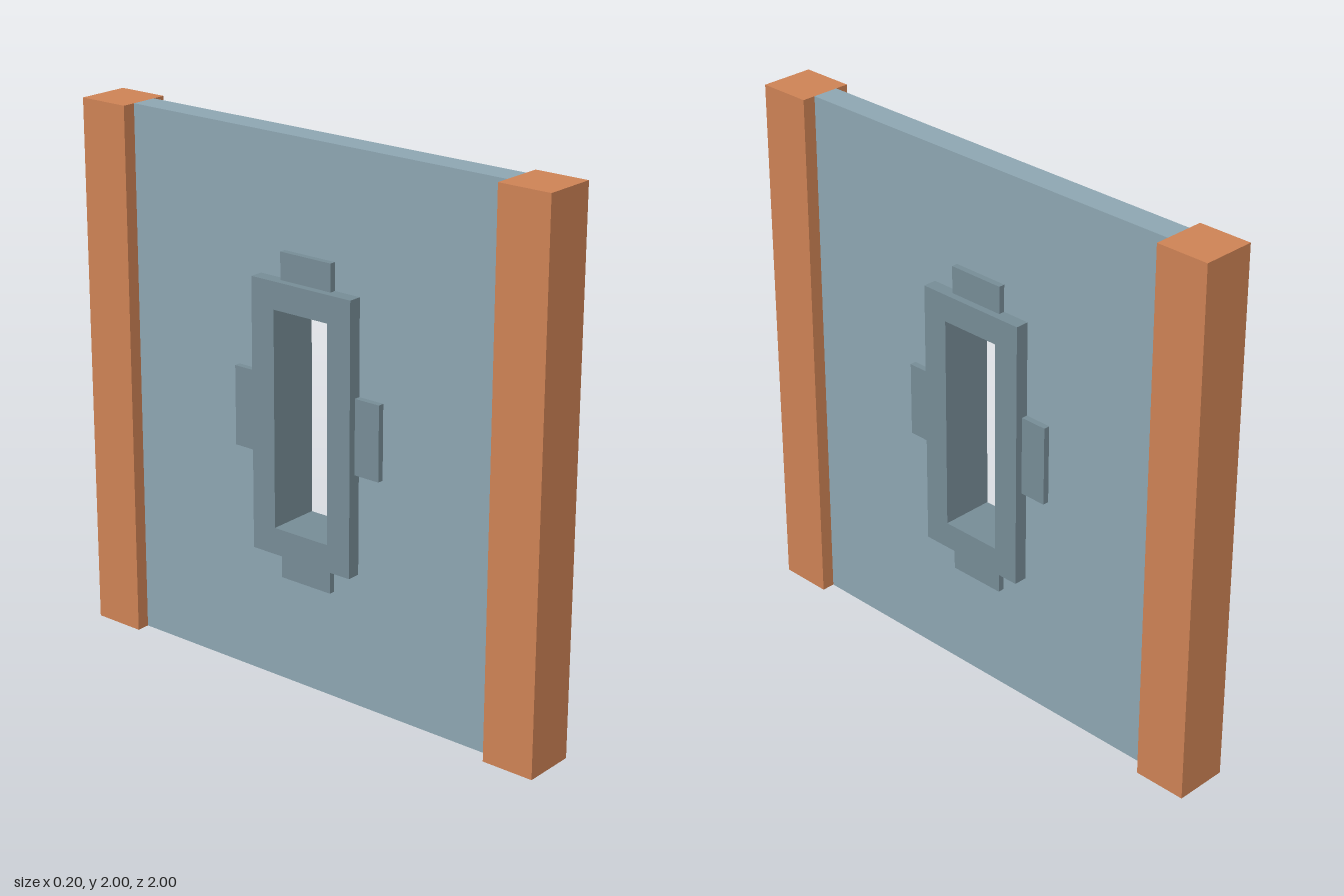
import * as THREE from 'three';

const material = (color) => new THREE.MeshStandardMaterial({ color, flatShading: true });

// Upright rectangular panel lying in the z-y plane, with a rectangular opening
function panelWithOpening(halfZ, y0, y1, holeHalfZ, holeY0, holeY1, thickness) {
  const rect = (target, h, a, b) => {
    target.moveTo(-h, a);
    target.lineTo(h, a);
    target.lineTo(h, b);
    target.lineTo(-h, b);
    target.closePath();
    return target;
  };
  const shape = rect(new THREE.Shape(), halfZ, y0, y1);
  shape.holes.push(rect(new THREE.Path(), holeHalfZ, holeY0, holeY1));
  const geometry = new THREE.ExtrudeGeometry(shape, { depth: thickness, bevelEnabled: false });
  geometry.translate(0, 0, -thickness / 2);
  geometry.rotateY(-Math.PI / 2);
  return geometry;
}

export function createModel() {
  const model = new THREE.Group();
  model.name = 'wallPanel';
  const wallMat = material(0x8fa8b4);
  const frameMat = material(0x788e98);
  const postMat = material(0xd08456);

  const add = (name, geometry, mat) => {
    const mesh = new THREE.Mesh(geometry, mat);
    mesh.name = name;
    model.add(mesh);
    return mesh;
  };
  // Box centred on x = 0, given its extents in y and z
  const addBox = (name, width, y0, y1, z0, z1, mat) =>
    add(name, new THREE.BoxGeometry(width, y1 - y0, z1 - z0), mat)
      .position.set(0, (y0 + y1) / 2, (z0 + z1) / 2);

  // End posts
  addBox('frontPost', 0.2, 0, 2, 0.8, 1, postMat);
  addBox('backPost', 0.2, 0, 2, -1, -0.8, postMat);

  // Wall, and the frame lining its opening
  add('wall', panelWithOpening(0.8, 0, 2, 0.217, 0.5, 1.5, 0.1), wallMat);
  add('windowFrame', panelWithOpening(0.217, 0.5, 1.5, 0.118, 0.6, 1.4, 0.2), frameMat);

  // Trim blocks around the frame, showing on both faces of the wall
  addBox('topTrim', 0.146, 1.5, 1.6, -0.11, 0.11, frameMat);
  addBox('bottomTrim', 0.146, 0.405, 0.5, -0.11, 0.11, frameMat);
  addBox('frontTrim', 0.146, 0.875, 1.15, 0.217, 0.32, frameMat);
  addBox('backTrim', 0.146, 0.855, 1.15, -0.32, -0.217, frameMat);

  return model;
}
